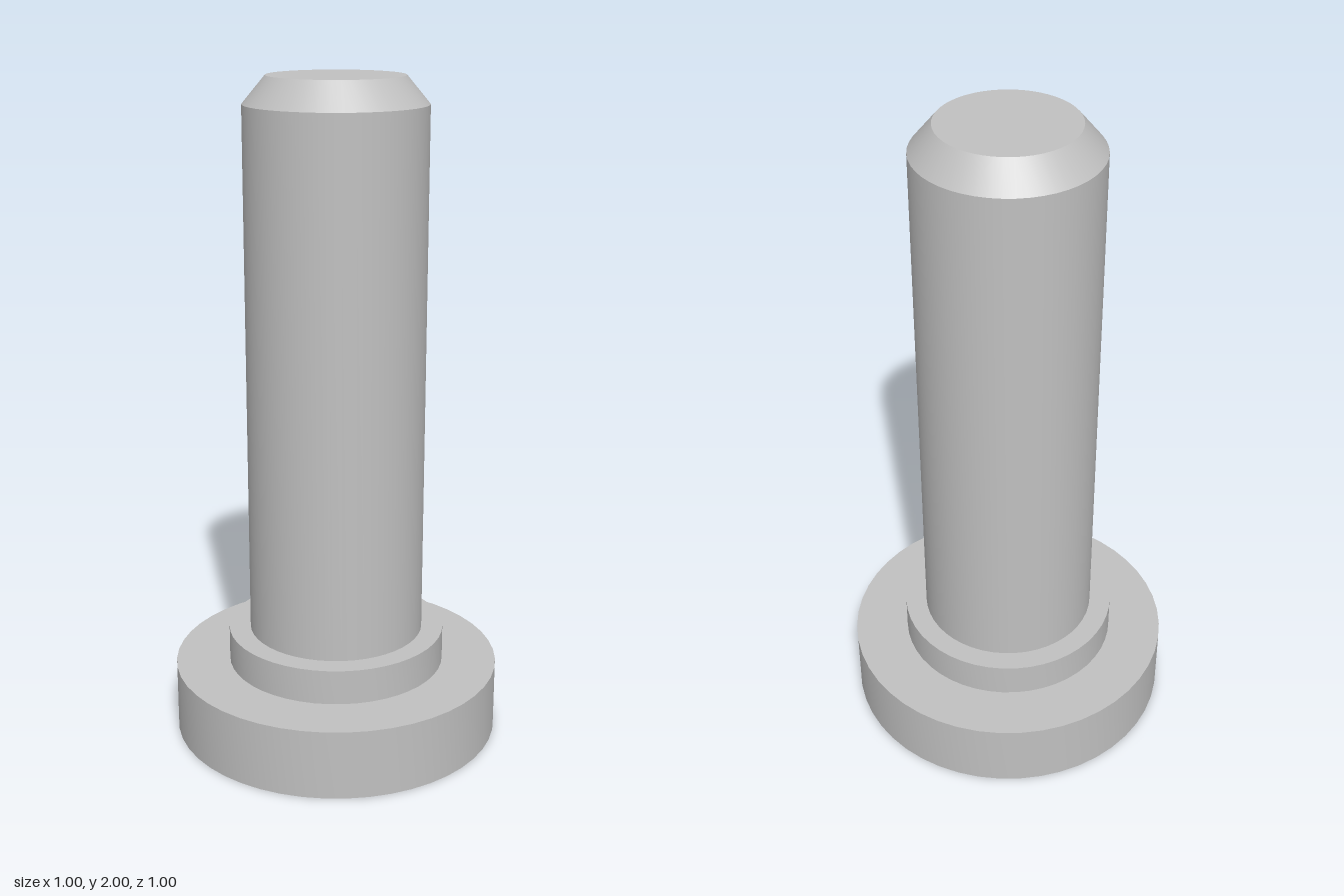
import * as THREE from 'three';
import { toCreasedNormals } from 'three/addons/utils/BufferGeometryUtils.js';

const SEGMENTS = 48;

export function createModel() {
  const pin = new THREE.Group();
  pin.name = 'headedPin';

  const steel = new THREE.MeshStandardMaterial({ color: 0xc0c0c0 });
  steel.name = 'plain steel';

  // Turns a [radius, height] profile, listed from bottom to top, with crisp rims
  function addTurnedPart(name, profile) {
    const points = profile.map(([r, y]) => new THREE.Vector2(r, y));
    const geometry = toCreasedNormals(new THREE.LatheGeometry(points, SEGMENTS), Math.PI / 6);
    const mesh = new THREE.Mesh(geometry, steel);
    mesh.name = name;
    pin.add(mesh);
  }

  const headR = 0.5, collarR = 0.333, shankR = 0.267, tipR = 0.2;
  const headTop = 0.213, collarTop = 0.32, chamferStart = 1.92, top = 2;

  // Wide flat head with its closed underside and upper ledge
  addTurnedPart('head', [[0, 0], [headR, 0], [headR, headTop], [collarR, headTop]]);

  // Narrow shoulder around the foot of the shank
  addTurnedPart('collar', [[collarR, headTop], [collarR, collarTop], [shankR, collarTop]]);

  // Long shank, chamfered to a flat end
  addTurnedPart('shank', [[shankR, collarTop], [shankR, chamferStart], [tipR, top], [0, top]]);

  return pin;
}
